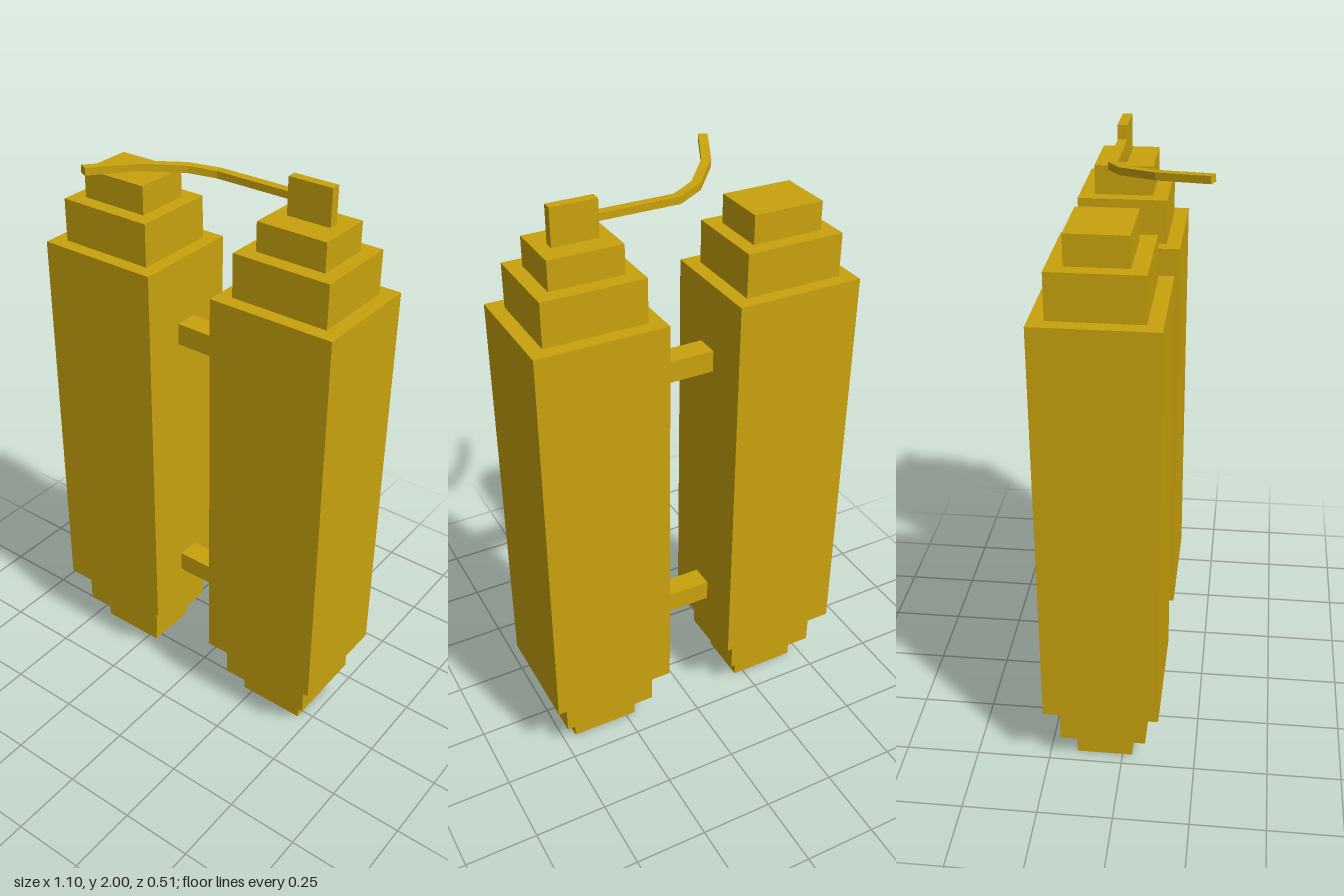
import * as THREE from 'three';

const gold = new THREE.MeshStandardMaterial({ color: 0xc9a20d });
gold.name = 'gold';

const CX = 0.335, CZ = -0.0625; // tank axis

// Box given by centre x/z, bottom and top height, width and depth
function block(name, x, z, y0, y1, w, d) {
  const mesh = new THREE.Mesh(new THREE.BoxGeometry(w, y1 - y0, d), gold);
  mesh.position.set(x, (y0 + y1) / 2, z);
  mesh.name = name;
  return mesh;
}

// Stepped tank: narrow, middle, body, middle, narrow
function tank(name, x) {
  const group = new THREE.Group();
  group.name = name;
  group.add(block('body', x, CZ, 0.243, 1.64, 0.43, 0.385));
  for (const [end, a, b, c] of [['bottom', 0, 0.1, 0.243], ['top', 1.88, 1.785, 1.64]]) {
    group.add(block(end + 'Cap', x, CZ, Math.min(a, b), Math.max(a, b), 0.24, 0.19));
    group.add(block(end + 'Shoulder', x, CZ, Math.min(b, c), Math.max(b, c), 0.335, 0.29));
  }
  return group;
}

// Rectangular section swept along a path, mitred at the bends
function hoseGeometry(points, width, height) {
  const path = points.map((p) => new THREE.Vector3(...p));
  const up = new THREE.Vector3(0, 1, 0);
  const dirs = path.slice(1).map((p, i) => p.clone().sub(path[i]).normalize());
  const rings = path.map((p, i) => {
    const before = dirs[Math.max(i - 1, 0)], after = dirs[Math.min(i, dirs.length - 1)];
    const dir = before.clone().add(after).normalize();
    const side = up.clone().cross(dir).normalize();
    const top = dir.clone().cross(side);
    const miter = 1 / dir.dot(after);
    return [[1, 1], [-1, 1], [-1, -1], [1, -1]].map(([s, t]) =>
      p.clone().addScaledVector(side, s * miter * width / 2).addScaledVector(top, t * height / 2));
  });
  const verts = [];
  const quad = (a, b, c, d) => [a, b, c, a, c, d].forEach((v) => verts.push(v.x, v.y, v.z));
  for (let i = 0; i < rings.length - 1; i++) {
    for (let j = 0; j < 4; j++) {
      const k = (j + 1) % 4;
      quad(rings[i][j], rings[i][k], rings[i + 1][k], rings[i + 1][j]);
    }
  }
  quad(...rings[rings.length - 1]);
  quad(...rings[0].slice().reverse());
  const geometry = new THREE.BufferGeometry();
  geometry.setAttribute('position', new THREE.Float32BufferAttribute(verts, 3));
  geometry.computeVertexNormals();
  return geometry;
}

export function createModel() {
  const model = new THREE.Group();
  model.name = 'twinTanks';

  model.add(tank('leftTank', CX), tank('rightTank', -CX));

  // Bars joining the tanks
  model.add(block('lowerBar', 0, -0.055, 0.375, 0.45, 0.245, 0.08));
  model.add(block('upperBar', 0, -0.055, 1.34, 1.415, 0.245, 0.08));

  // Valve plate and the bent hose leaving it
  model.add(block('valve', CX, -0.071, 1.88, 2, 0.15, 0.032));
  const hose = new THREE.Mesh(hoseGeometry([
    [0.26, 1.942, -0.071],
    [0, 1.942, -0.071],
    [-0.085, 1.952, -0.029],
    [-0.182, 1.969, 0.083],
    [-0.259, 1.986, 0.244],
  ], 0.03, 0.023), gold);
  hose.name = 'hose';
  model.add(hose);

  return model;
}
